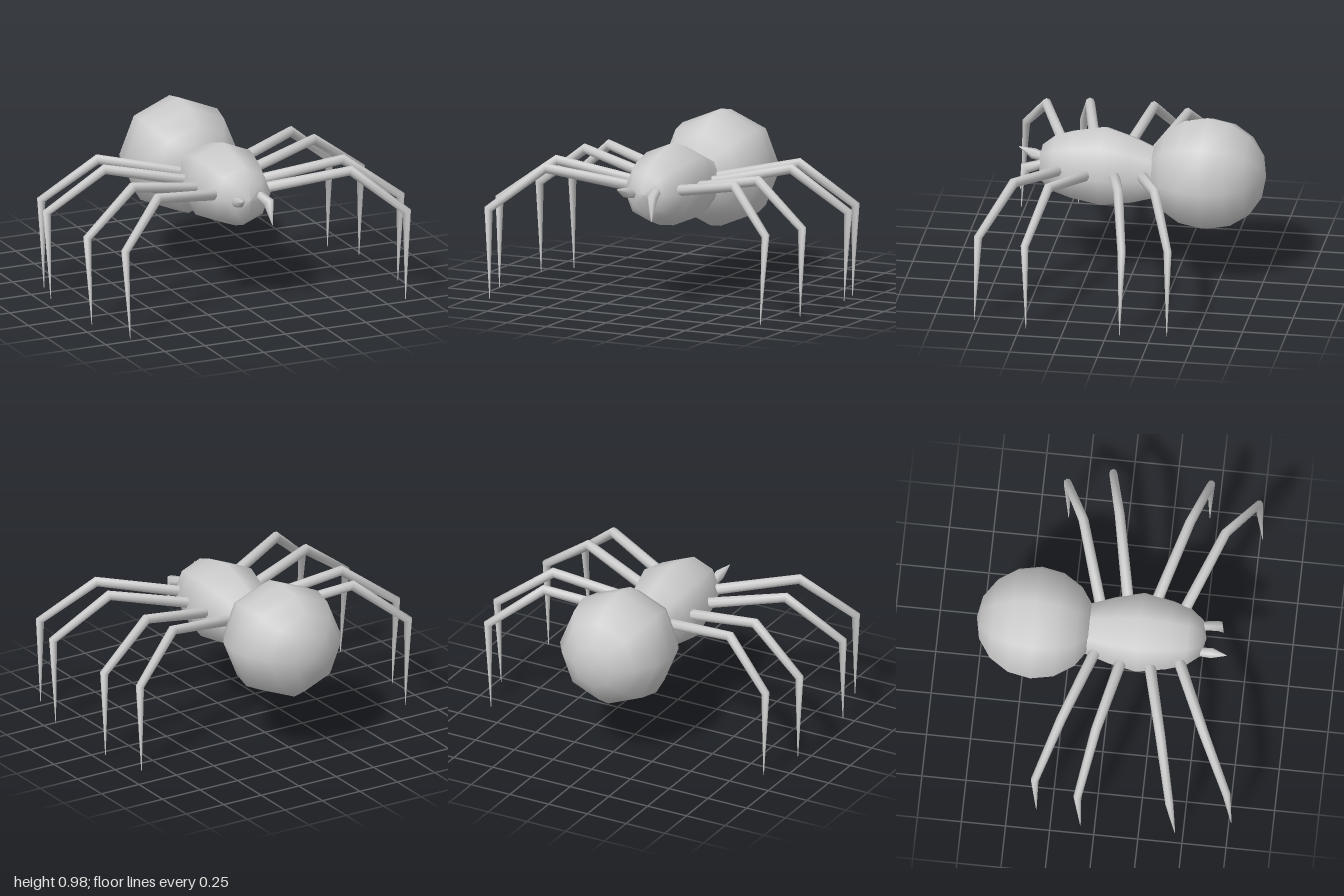
import * as THREE from 'three';

const material = new THREE.MeshStandardMaterial({ color: 0xcccccc });
const UP = new THREE.Vector3(0, 1, 0);

// Jointed, tapering limb: one mitred ring per joint; points are [x, y, z, radius].
function limb(name, joints, sides = 8) {
  const pts = joints.map(j => new THREE.Vector3(j[0], j[1], j[2]));
  const last = pts.length - 1;
  const chord = pts[last].clone().sub(pts[0]);
  const side = new THREE.Vector3().crossVectors(UP, chord).normalize();
  const dir = i => pts[i + 1].clone().sub(pts[i]).normalize();
  const pos = [], idx = [];
  pts.forEach((p, i) => {
    const before = dir(Math.max(i - 1, 0)), after = dir(Math.min(i, last - 1));
    const t = before.clone().add(after).normalize();
    const up = new THREE.Vector3().crossVectors(t, side).normalize();
    const mitre = 1 / t.dot(after);
    for (let k = 0; k < sides; k++) {
      const a = (k / sides) * Math.PI * 2, r = joints[i][3];
      const v = p.clone().addScaledVector(side, Math.cos(a) * r)
        .addScaledVector(up, Math.sin(a) * r * mitre);
      pos.push(v.x, v.y, v.z);
    }
  });
  for (let i = 0; i < last; i++) {
    for (let k = 0; k < sides; k++) {
      const a = i * sides + k, b = i * sides + (k + 1) % sides;
      idx.push(a, b, a + sides, b, b + sides, a + sides);
    }
  }
  // Flat cap at the root
  for (let k = 1; k < sides - 1; k++) idx.push(0, k + 1, k);
  const geo = new THREE.BufferGeometry();
  geo.setAttribute('position', new THREE.Float32BufferAttribute(pos, 3));
  geo.setIndex(idx);
  geo.computeVertexNormals();
  const mesh = new THREE.Mesh(geo, material);
  mesh.name = name;
  return mesh;
}

export function createModel() {
  const model = new THREE.Group();
  model.name = 'spider';

  // Abdomen: eight-sided ball with its poles on the body axis
  const abdomen = new THREE.Mesh(new THREE.SphereGeometry(0.337, 8, 8).rotateX(Math.PI / 2), material);
  abdomen.name = 'abdomen';
  abdomen.position.set(0, 0.642, -0.43);
  model.add(abdomen);

  // Thorax: eight-sided lathe along z, narrowing and dipping towards the abdomen
  const profile = [[0.12, -0.25], [0.16, -0.11], [0.2, 0], [0.238, 0.16],
    [0.205, 0.33], [0.17, 0.435], [0.11, 0.508], [0, 0.535]];
  const thoraxGeo = new THREE.LatheGeometry(profile.map(([r, z]) => new THREE.Vector2(r, z)), 8);
  thoraxGeo.rotateX(Math.PI / 2);
  const p = thoraxGeo.attributes.position;
  for (let i = 0; i < p.count; i++) {
    p.setY(i, p.getY(i) + 0.65 + Math.min(0, p.getZ(i) - 0.16) * 0.08);
  }
  const thorax = new THREE.Mesh(thoraxGeo, material);
  thorax.name = 'thorax';
  model.add(thorax);

  // Legs, front to back: root, knee, ankle, foot
  const legs = [
    [[0.165, 0.67, 0.40], [0.6, 0.762, 0.58], [0.875, 0.53, 0.74], [0.855, 0.02, 0.765]],
    [[0.2, 0.665, 0.235], [0.645, 0.762, 0.375], [0.965, 0.53, 0.46], [0.95, 0.025, 0.455]],
    [[0.2, 0.665, 0.068], [0.65, 0.762, -0.025], [0.975, 0.53, -0.095], [0.957, 0.02, -0.08]],
    [[0.155, 0.66, -0.085], [0.6, 0.755, -0.225], [0.895, 0.52, -0.345], [0.88, 0, -0.338]],
  ];
  const radii = [0.032, 0.028, 0.023, 0.002];
  for (const s of [1, -1]) {
    legs.forEach((leg, n) => {
      // The second leg on the right reaches a little less far forward
      const lag = s < 0 && n === 1 ? 0.035 : 0;
      const joints = leg.map(([x, y, z], i) => [s * x, y, z - (i === 1 || i === 2 ? lag : 0), radii[i]]);
      model.add(limb(`${s > 0 ? 'left' : 'right'}Leg${n + 1}`, joints));
    });
  }

  // Fangs: the left one hooks down, the right one points forward
  model.add(limb('leftFang', [[0.06, 0.68, 0.46, 0.024], [0.085, 0.645, 0.595, 0.031], [0.095, 0.52, 0.622, 0.002]], 6));
  model.add(limb('rightFang', [[-0.075, 0.635, 0.46, 0.024], [-0.088, 0.665, 0.575, 0.031], [-0.105, 0.695, 0.66, 0.002]], 6));

  return model;
}
